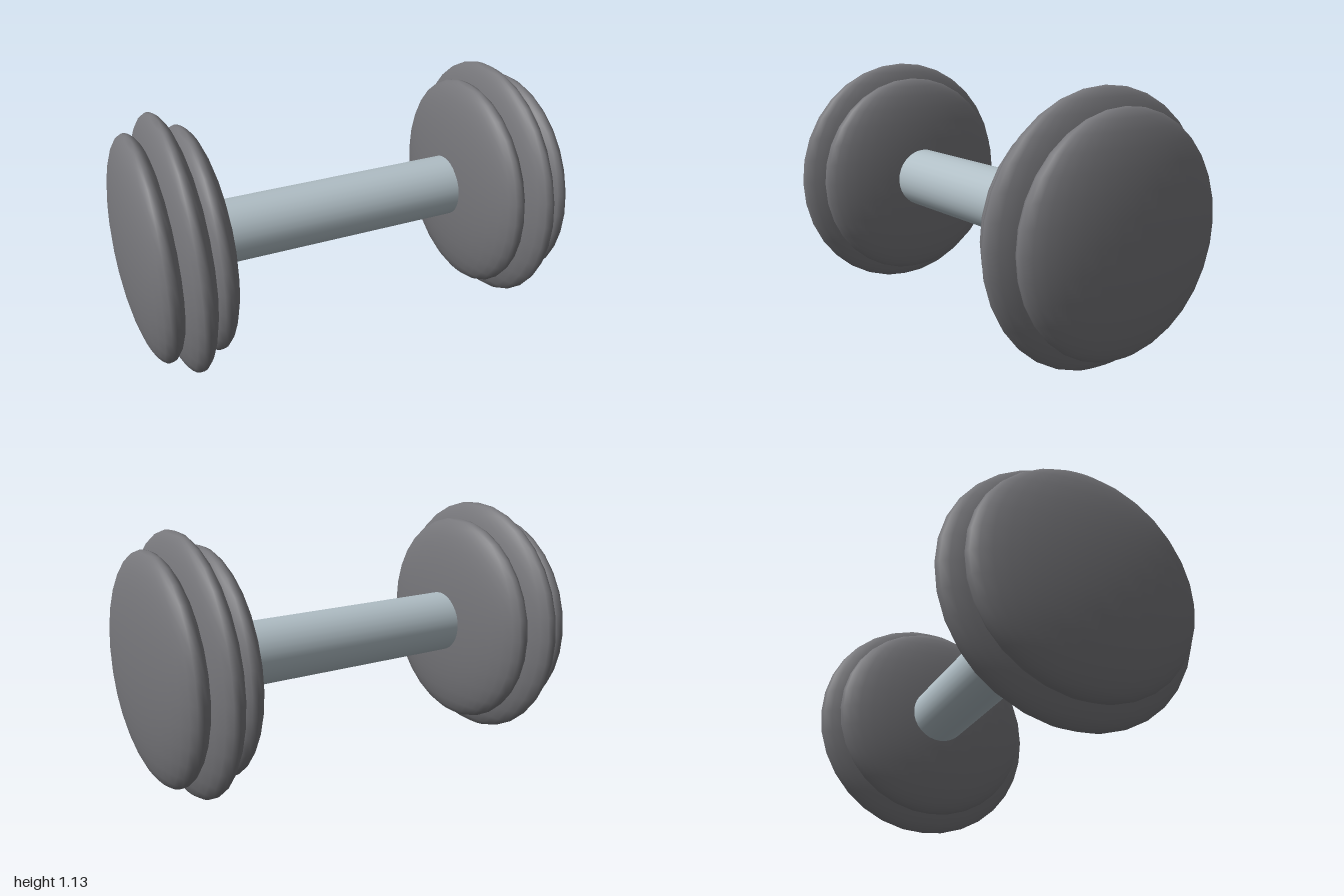
import * as THREE from 'three';

const AXIS_Y = 0.566;
const HALF_THICKNESS = 0.111;

export function createModel() {
  const model = new THREE.Group();
  model.name = 'dumbbell';

  const iron = new THREE.MeshStandardMaterial({ color: 0x76767a });
  iron.name = 'dark iron';
  const steel = new THREE.MeshStandardMaterial({ color: 0xb0bec5 });
  steel.name = 'pale steel';

  // Handle, ending inside the middle plates
  const handle = new THREE.Mesh(new THREE.CylinderGeometry(0.141, 0.141, 1.5, 32), steel);
  handle.name = 'handle';
  handle.rotation.z = Math.PI / 2;
  handle.position.y = AXIS_Y;
  model.add(handle);

  // Each weight is three flattened, overlapping round plates
  const plates = [
    ['innerPlate', 0.669, 0.493],
    ['middlePlate', 0.776, 0.563],
    ['outerPlate', 0.889, 0.493],
  ];
  const ball = new THREE.SphereGeometry(1, 32, 16);
  for (const [side, sign] of [['left', 1], ['right', -1]]) {
    const weight = new THREE.Group();
    weight.name = side + 'Weight';
    for (const [name, x, radius] of plates) {
      const plate = new THREE.Mesh(ball, iron);
      plate.name = name;
      plate.scale.set(HALF_THICKNESS, radius, radius);
      plate.position.set(sign * x, AXIS_Y, 0);
      weight.add(plate);
    }
    model.add(weight);
  }
  return model;
}
